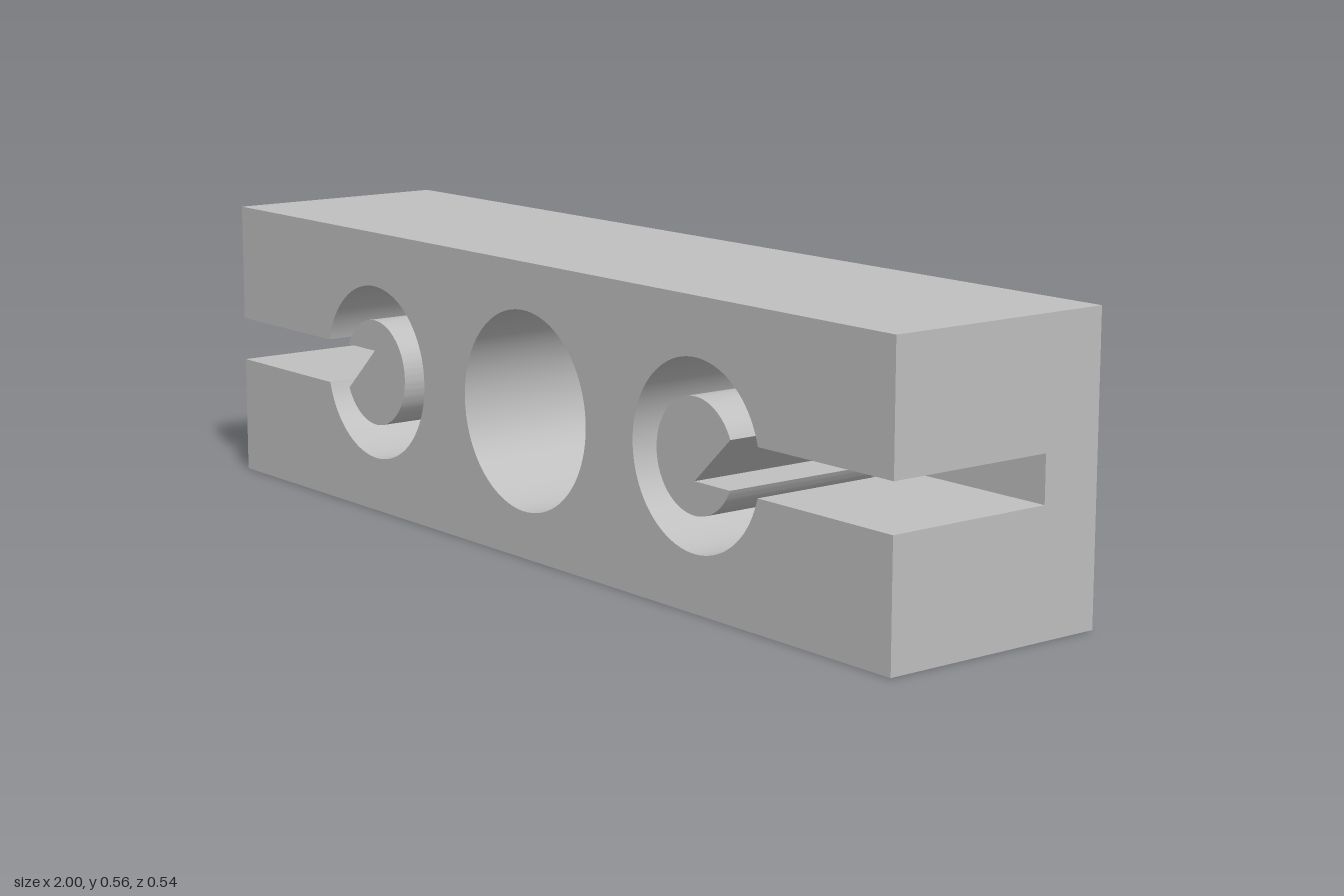
import * as THREE from 'three';
import { toCreasedNormals } from 'three/addons/utils/BufferGeometryUtils.js';

const MID = 0.28;          // height of the long axis
const SLOT = 0.044;        // half height of the side slots
const POST_X = 0.5, RING_R = 0.173, POST_R = 0.105;
const Z_BACK = -0.197, Z_FLOOR = -0.073, Z_FRONT = 0.27;

function rectangle(w, h) {
  return new THREE.Shape([
    new THREE.Vector2(-w, -h), new THREE.Vector2(w, -h),
    new THREE.Vector2(w, h), new THREE.Vector2(-w, h),
  ]);
}

function addHole(shape, r) {
  shape.holes.push(new THREE.Path().absarc(0, 0, r, 0, Math.PI * 2, true));
  return shape;
}

export function createModel() {
  const group = new THREE.Group();
  const grey = new THREE.MeshStandardMaterial({ color: 0xbfbfbf });
  grey.name = 'grey';

  // Extrudes an outline between two depths, with smooth bores and sharp edges
  function addPart(name, shape, z0, z1) {
    const geo = new THREE.ExtrudeGeometry(shape, { depth: z1 - z0, bevelEnabled: false, curveSegments: 48 });
    geo.translate(0, MID, z0);
    const mesh = new THREE.Mesh(toCreasedNormals(geo, 0.6), grey);
    mesh.name = name;
    group.add(mesh);
  }

  // Rear rail and rear slab share the narrow through hole
  addPart('rearRail', addHole(rectangle(0.93, 0.103), 0.1), -0.27, Z_BACK);
  addPart('rearSlab', addHole(rectangle(1, MID), 0.1), Z_BACK, Z_FLOOR);

  // Front block: side slots open into round pockets, wide bore in the middle
  const a = Math.asin(SLOT / RING_R);
  const front = new THREE.Shape();
  front.moveTo(-1, -MID);
  front.lineTo(1, -MID);
  front.lineTo(1, -SLOT);
  front.absarc(POST_X, 0, RING_R, -a, a, true);
  front.lineTo(1, SLOT);
  front.lineTo(1, MID);
  front.lineTo(-1, MID);
  front.lineTo(-1, SLOT);
  front.absarc(-POST_X, 0, RING_R, Math.PI - a, Math.PI + a, true);
  front.lineTo(-1, -SLOT);
  front.closePath();
  addPart('frontBlock', addHole(front, 0.19), Z_FLOOR, Z_FRONT);

  // Round posts in the pockets, slotted from the outer side to their centre
  const b = Math.asin(SLOT / POST_R);
  for (const [name, x, turn] of [['leftPost', POST_X, 0], ['rightPost', -POST_X, Math.PI]]) {
    const s = Math.cos(turn);
    const post = new THREE.Shape();
    post.moveTo(x, s * SLOT);
    post.absarc(x, 0, POST_R, turn + b, turn + Math.PI * 2 - b, false);
    post.lineTo(x, -s * SLOT);
    post.closePath();
    addPart(name, post, Z_FLOOR, Z_FRONT);
  }
  return group;
}
